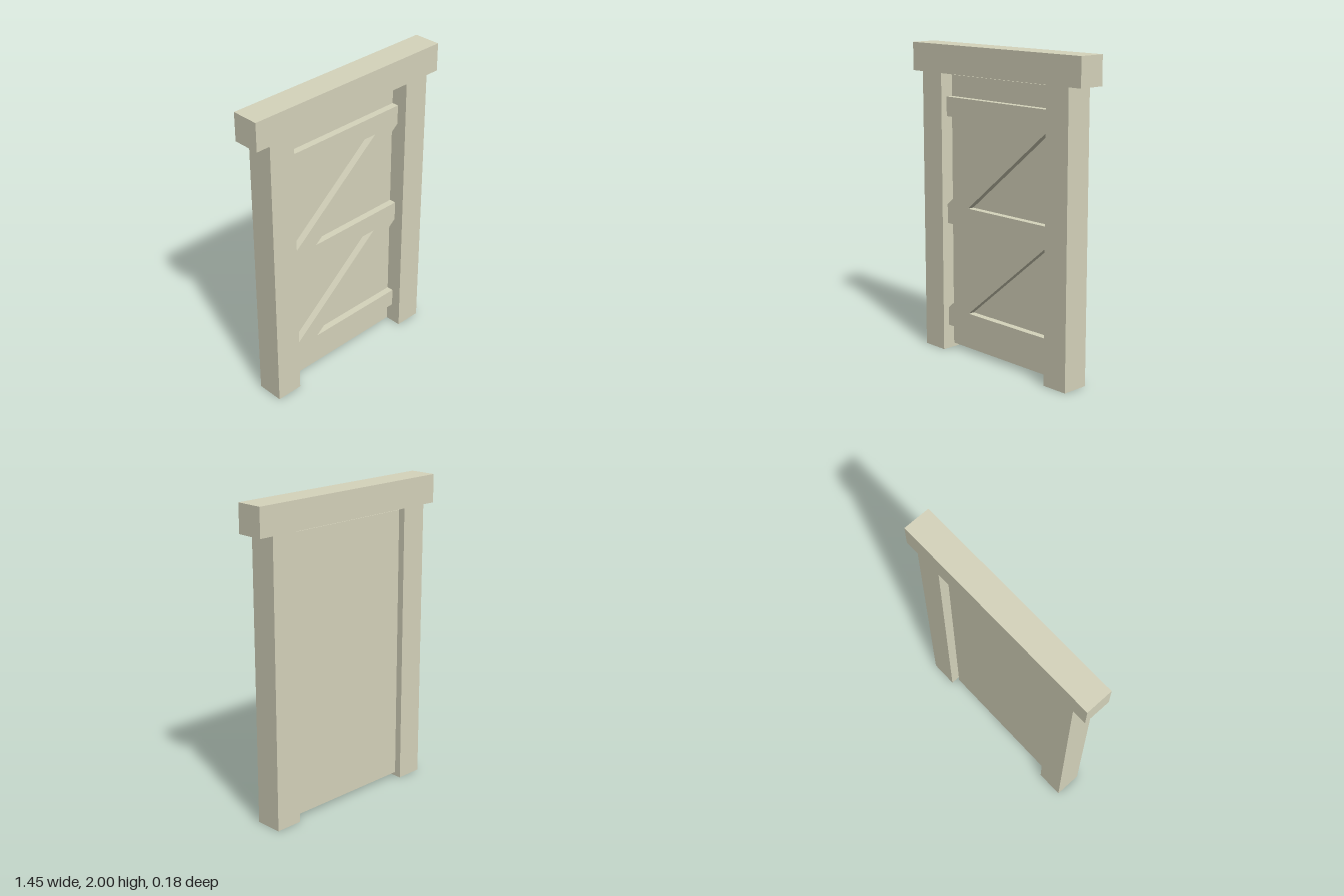
import * as THREE from 'three';

export function createModel() {
  const group = new THREE.Group();
  const material = new THREE.MeshStandardMaterial({ color: 0xd6d4bc, flatShading: true });

  const add = (name, geometry) => {
    const mesh = new THREE.Mesh(geometry, material);
    mesh.name = name;
    group.add(mesh);
    return mesh;
  };
  // Box given by its extents on each axis
  const box = (name, x0, x1, y0, y1, z0, z1) =>
    add(name, new THREE.BoxGeometry(x1 - x0, y1 - y0, z1 - z0))
      .position.set((x0 + x1) / 2, (y0 + y1) / 2, (z0 + z1) / 2);

  // Frame: two posts and an overhanging lintel
  const depth = 0.0885, inner = 0.457, outer = 0.634;
  box('leftPost', inner, outer, 0, 1.82, -depth, depth);
  box('rightPost', -outer, -inner, 0, 1.82, -depth, depth);
  box('lintel', -0.727, 0.727, 1.82, 2, -depth, depth);

  // Door panel, hinged against the right post with a narrow gap on the left
  const hinge = -inner, latch = 0.433, thick = 0.045;
  box('doorPanel', hinge, latch, 0.025, 1.805, -thick, 0);

  // Bracing: three rails joined by two diagonals, as one outline
  const rails = [[0.16, 0.28], [0.85, 0.975], [1.545, 1.67]];
  const notch = 0.695; // length of the free edge of each rail
  const outline = [];
  rails.forEach(([bottom, top], i) => { // up the latch side
    outline.push([latch, bottom], [latch, top]);
    if (i < 2) outline.push([latch - notch, top]);
  });
  [...rails].reverse().forEach(([bottom, top], i) => { // down the hinge side
    outline.push([hinge, top], [hinge, bottom]);
    if (i < 2) outline.push([hinge + notch, bottom]);
  });
  const shape = new THREE.Shape(outline.map(([x, y]) => new THREE.Vector2(x, y)));
  add('doorBracing', new THREE.ExtrudeGeometry(shape, { depth: thick, bevelEnabled: false }));

  return group;
}
